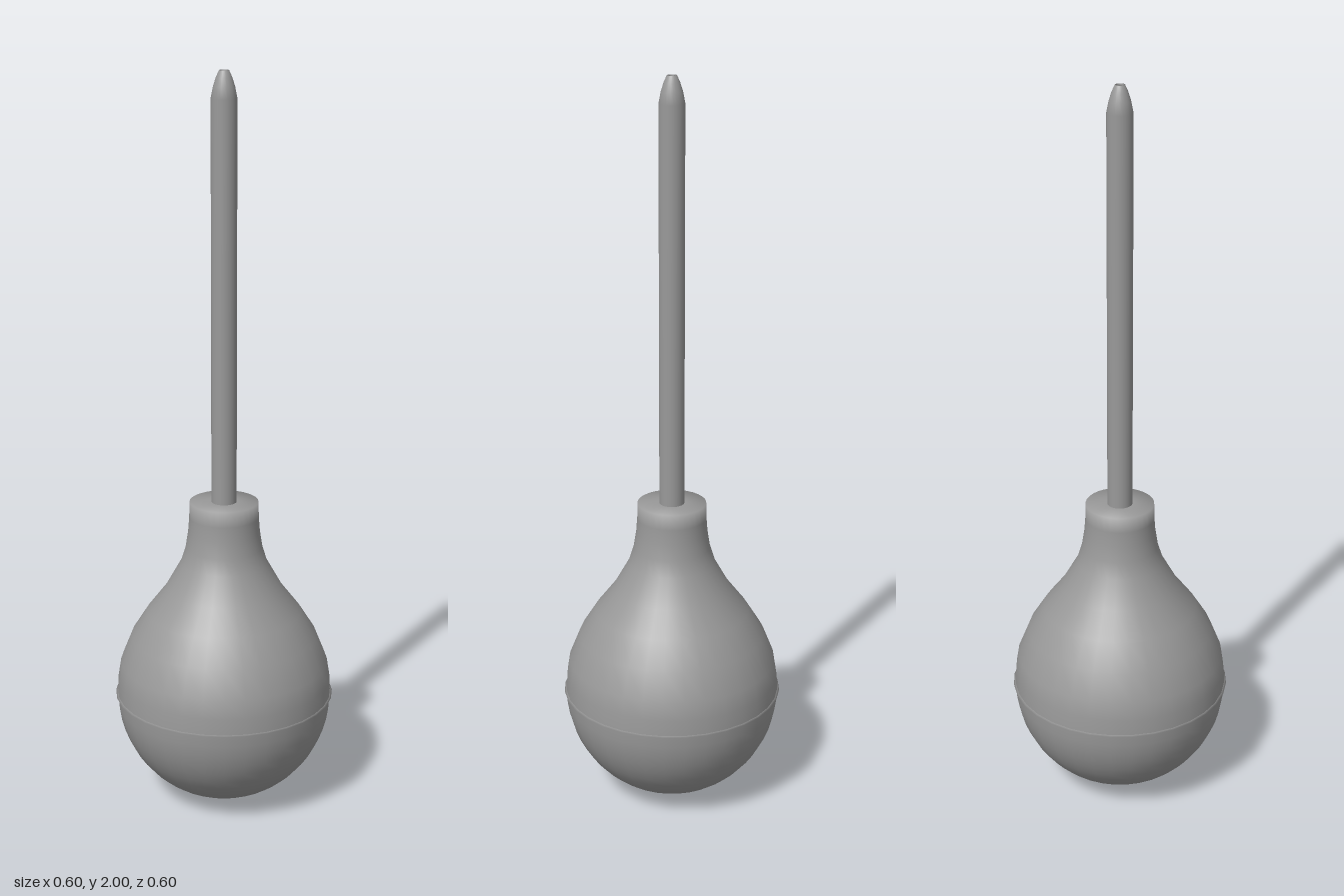
import * as THREE from 'three';

const material = new THREE.MeshStandardMaterial({ color: 0x999999, side: THREE.DoubleSide });

// Revolve a bottom-to-top list of [radius, height] points.
function lathe(name, points, segments) {
  const profile = points.map(([r, y]) => new THREE.Vector2(r, y));
  const mesh = new THREE.Mesh(new THREE.LatheGeometry(profile, segments), material);
  mesh.name = name;
  return mesh;
}

export function createModel() {
  const group = new THREE.Group();
  group.name = 'bulbSyringe';

  // Round lower half of the squeeze bulb
  const lower = [];
  for (let i = 0; i <= 14; i++) {
    const a = (i / 14) * Math.PI / 2;
    lower.push([0.294 * Math.sin(a), 0.3 - 0.3 * Math.cos(a)]);
  }
  group.add(lathe('lowerBulb', lower, 32));

  // Upper half, narrowing in an S-curve to the neck, with a softly shaded flat rim
  group.add(lathe('upperBulb', [
    [0.294, 0.3], [0.292, 0.345], [0.284, 0.395], [0.254, 0.47], [0.21, 0.54],
    [0.16, 0.605], [0.118, 0.68], [0.104, 0.725], [0.097, 0.77], [0.094, 0.81],
    [0.093, 0.853], [0.03, 0.853],
  ], 32));

  // Thin moulding seam around the widest part
  group.add(lathe('seam', [[0.291, 0.297], [0.2995, 0.3], [0.291, 0.303]], 32));

  // Long thin tube running smoothly into a tapered tip with a small opening
  group.add(lathe('tube', [
    [0.034, 0.8], [0.034, 1.93], [0.028, 1.96], [0.021, 1.982], [0.013, 2],
    [0.01, 2], [0.01, 1.97],
  ], 24));
  group.add(lathe('tipOpening', [[0.01, 1.97], [0, 1.97]], 24));

  return group;
}
